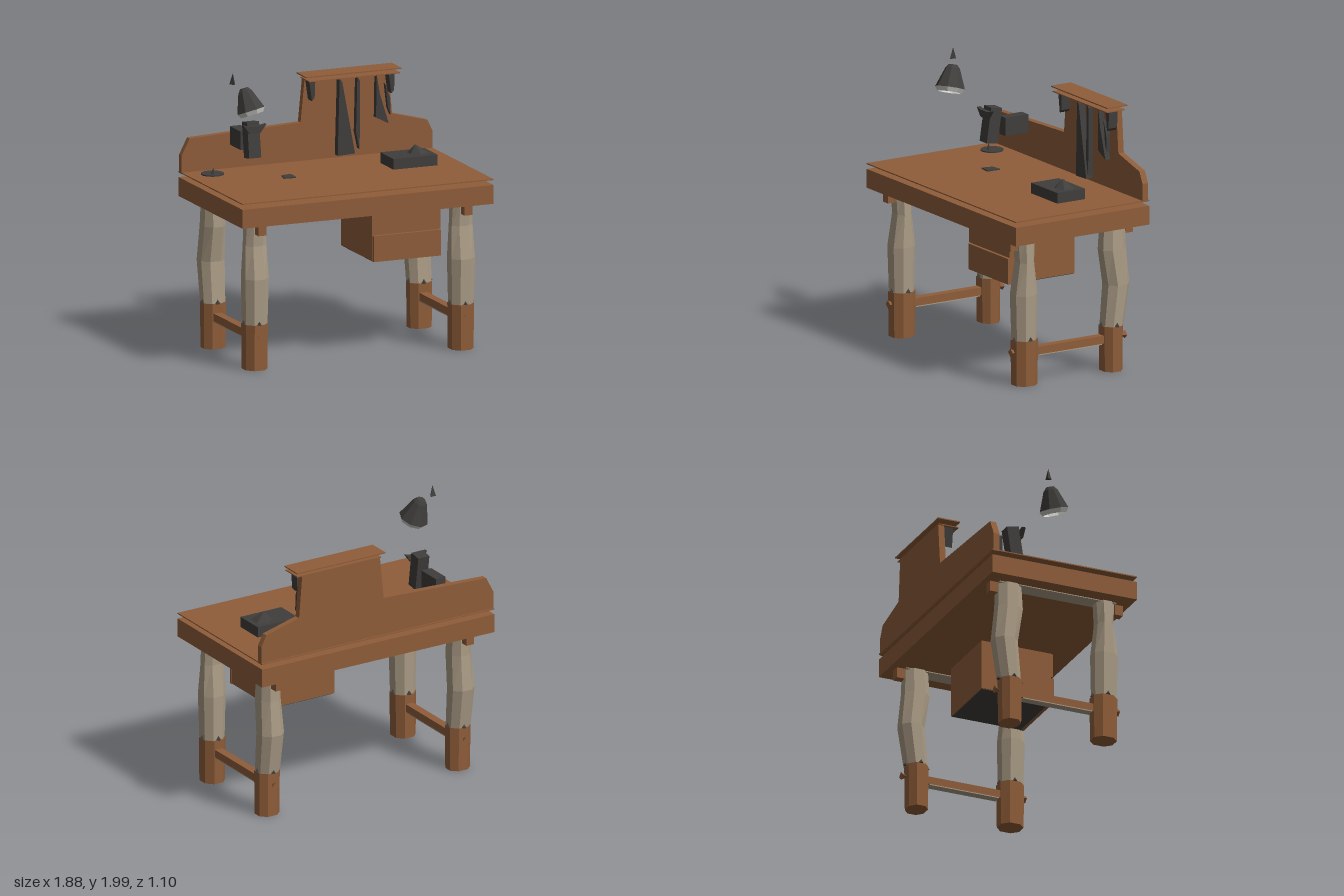
import * as THREE from 'three';

export function createModel() {
  const model = new THREE.Group();
  const mat = (name, color) => new THREE.MeshStandardMaterial({ name, color, flatShading: true, side: THREE.DoubleSide });
  const wood = mat('wood', 0x8f5d39);
  const paint = mat('pale paint', 0xaa9b85);
  const iron = mat('dark iron', 0x403e3c);
  const light = mat('lamp lining', 0xcfcfca);

  const add = (name, geo, material, x = 0, y = 0, z = 0, parent = model) => {
    const m = new THREE.Mesh(geo, material);
    m.name = name;
    m.position.set(x, y, z);
    parent.add(m);
    return m;
  };
  // box given by its two opposite corners
  const box = (name, material, [x0, y0, z0], [x1, y1, z1]) =>
    add(name, new THREE.BoxGeometry(x1 - x0, y1 - y0, z1 - z0), material,
      (x0 + x1) / 2, (y0 + y1) / 2, (z0 + z1) / 2);
  // flat outline in x/y, extruded along z
  const plate = (name, material, points, z, depth) => {
    const shape = new THREE.Shape(points.map(([x, y]) => new THREE.Vector2(x, y)));
    return add(name, new THREE.ExtrudeGeometry(shape, { depth, bevelEnabled: false }), material, 0, 0, z);
  };
  // eight-sided column lofted through sections [y, x0, x1, z0, z1]
  const loft = (name, material, sections) => {
    const c = 0.45;
    const ring = [[1, -c], [1, c], [c, 1], [-c, 1], [-1, c], [-1, -c], [-c, -1], [c, -1]];
    const pos = [], idx = [], n = ring.length;
    for (const [y, x0, x1, z0, z1] of sections)
      for (const [u, v] of ring)
        pos.push((x0 + x1) / 2 + u * (x1 - x0) / 2, y, (z0 + z1) / 2 + v * (z1 - z0) / 2);
    for (let s = 0; s < sections.length - 1; s++)
      for (let i = 0; i < n; i++) {
        const a = s * n + i, b = s * n + (i + 1) % n;
        idx.push(a, a + n, b, b, a + n, b + n);
      }
    const last = (sections.length - 1) * n;
    for (let i = 1; i < n - 1; i++) idx.push(0, i, i + 1, last, last + i + 1, last + i);
    const g = new THREE.BufferGeometry();
    g.setAttribute('position', new THREE.Float32BufferAttribute(pos, 3));
    g.setIndex(idx);
    g.computeVertexNormals();
    return add(name, g, material);
  };

  // Table top: thick slab with a thin work surface floating just above it
  box('tableSlab', wood, [-0.94, 1.045, -0.545], [0.94, 1.178, 0.545]);
  box('workSurface', wood, [-0.94, 1.212, -0.545], [0.94, 1.22, 0.545]);

  // Back board with raised centre panel
  plate('backBoard', wood, [[-0.94, 1.21], [0.94, 1.21], [0.94, 1.34], [0.9, 1.42], [0.635, 1.49],
    [0.61, 1.795], [-0.02, 1.795], [-0.05, 1.49], [-0.88, 1.455], [-0.94, 1.34]], -0.535, 0.045);
  box('shelfTop', wood, [-0.055, 1.824, -0.55], [0.66, 1.832, -0.385]);
  box('shelfUnderside', wood, [-0.03, 1.793, -0.535], [0.65, 1.8, -0.385]);
  for (const x of [0.005, 0.6])
    plate('shelfBracket', iron, [[x - 0.02, 1.79], [x + 0.025, 1.79], [x + 0.02, 1.67], [x, 1.65]], -0.49, 0.07);

  // Drawer unit
  box('drawerCase', wood, [0.105, 0.685, -0.15], [0.61, 1.045, 0.37]);
  box('upperDrawerFront', wood, [0.1, 0.868, 0.37], [0.612, 1.04, 0.385]);
  box('lowerDrawerFront', wood, [0.11, 0.68, 0.37], [0.612, 0.862, 0.395]);
  box('drawerBottom', iron, [0.11, 0.68, -0.145], [0.605, 0.685, 0.37]);

  // Legs, feet and rails on both sides
  for (const s of [-1, 1]) {
    const x = s * 0.772;
    const legs = [
      { shaft: [[0.33, 0.29, 0.45], [0.65, 0.285, 0.46], [0.88, 0.31, 0.425], [1.045, 0.3, 0.435]], foot: [0.283, 0.452], bolt: 1 },
      { shaft: [[0.33, -0.42, -0.27], [0.62, -0.465, -0.295], [0.87, -0.44, -0.255], [1.045, -0.435, -0.265]], foot: [-0.41, -0.268], bolt: -1 },
    ];
    const half = [0.08, 0.088, 0.078, 0.07];
    for (const { shaft, foot: [f0, f1], bolt } of legs) {
      loft('legShaft', paint, shaft.map(([y, a, b], i) => [y, x - half[i], x + half[i], a, b]));
      loft('legFoot', wood, [[0.01, x - 0.08, x + 0.08, f0, f1], [0.33, x - 0.083, x + 0.083, f0 - 0.004, f1 + 0.004]]);
      const mid = (f0 + f1) / 2;
      // collar studs and outer peg
      for (const d of [-1, 1]) {
        add('collarStud', new THREE.ConeGeometry(0.02, 0.03, 4), iron, x + d * 0.08, 0.345, mid);
        add('collarStud', new THREE.ConeGeometry(0.02, 0.03, 4), iron, x, 0.345, mid + d * 0.08);
      }
      const peg = add('railPeg', new THREE.ConeGeometry(0.03, 0.05, 4), wood, x, 0.245, bolt > 0 ? 0.455 : -0.43);
      peg.rotation.x = bolt * -Math.PI / 2;
      const z = bolt > 0 ? 0.44 : -0.5;
      box('railEnd', wood, [x - 0.03, 0.97, z], [x + 0.03, 1.045, z + 0.06]);
    }
    box('topRailFace', paint, [x - 0.06, 1.038, -0.44], [x + 0.06, 1.044, 0.44]);
    box('lowerRail', wood, [x - 0.03, 0.21, -0.29], [x + 0.03, 0.265, 0.3]);
    box('lowerRailUnderside', paint, [x - 0.03, 0.203, -0.25], [x + 0.03, 0.21, 0.27]);
  }

  // Hanging tools
  plate('hangingSaw', iron, [[0.215, 1.79], [0.235, 1.76], [0.33, 1.25], [0.2, 1.245]], -0.475, 0.05);
  plate('hangingChisel', iron, [[0.345, 1.79], [0.365, 1.76], [0.365, 1.42], [0.36, 1.28], [0.335, 1.4]], -0.46, 0.04);
  plate('hangingFile', iron, [[0.49, 1.79], [0.515, 1.65], [0.58, 1.44], [0.485, 1.49]], -0.46, 0.04);
  plate('hangingHook', iron, [[0.555, 1.72], [0.59, 1.62], [0.595, 1.5], [0.575, 1.55]], -0.45, 0.03);

  // Tool tray with a heap of parts
  box('toolTray', iron, [0.4, 1.235, -0.155], [0.73, 1.31, 0.07]);
  const heap = add('partsHeap', new THREE.ConeGeometry(0.085, 0.07, 6), iron, 0.62, 1.335, -0.05);
  heap.rotation.z = 0.15;

  // Vise: tilted jaw with flared wings, and a rear block
  const jaw = add('viseJaw', new THREE.BoxGeometry(0.09, 0.25, 0.09), iron, -0.54, 1.475, -0.21);
  jaw.rotation.x = -0.15;
  plate('viseWings', iron, [[-0.625, 1.59], [-0.58, 1.58], [-0.5, 1.58], [-0.455, 1.59], [-0.5, 1.53], [-0.58, 1.53]], -0.18, 0.03);
  box('viseBlock', iron, [-0.58, 1.385, -0.49], [-0.5, 1.515, -0.305]);

  // Lamp base, floating shade and finial
  add('lampBase', new THREE.CylinderGeometry(0.08, 0.08, 0.008, 20), iron, -0.765, 1.224, -0.365);
  add('lampStub', new THREE.ConeGeometry(0.035, 0.09, 5), iron, -0.77, 1.228, -0.34);
  const shade = new THREE.Group();
  shade.name = 'lampShade';
  shade.position.set(-0.67, 1.8, 0.03);
  shade.rotation.set(-0.3, 0, 0.2);
  model.add(shade);
  add('shadeShell', new THREE.CylinderGeometry(0.05, 0.105, 0.14, 8, 1, true), iron, 0, 0.01, 0, shade);
  add('shadeCap', new THREE.CylinderGeometry(0.03, 0.05, 0.025, 8), iron, 0, 0.09, 0, shade);
  add('shadeLining', new THREE.CylinderGeometry(0.044, 0.1, 0.138, 8, 1, true), light, 0, 0.008, 0, shade);
  add('shadeRim', new THREE.CylinderGeometry(0.106, 0.085, 0.03, 8, 1, true), light, 0, -0.074, 0, shade);
  add('lampFinial', new THREE.ConeGeometry(0.025, 0.08, 3), iron, -0.755, 1.96, -0.04);

  // Loose offcut on the bench
  plate('looseOffcut', iron, [[-0.38, 0.03], [-0.29, 0.02], [-0.285, 0.12], [-0.36, 0.11]], 0, 0.008)
    .rotation.x = -Math.PI / 2;
  model.getObjectByName('looseOffcut').position.set(0, 1.222, 0);

  return model;
}
